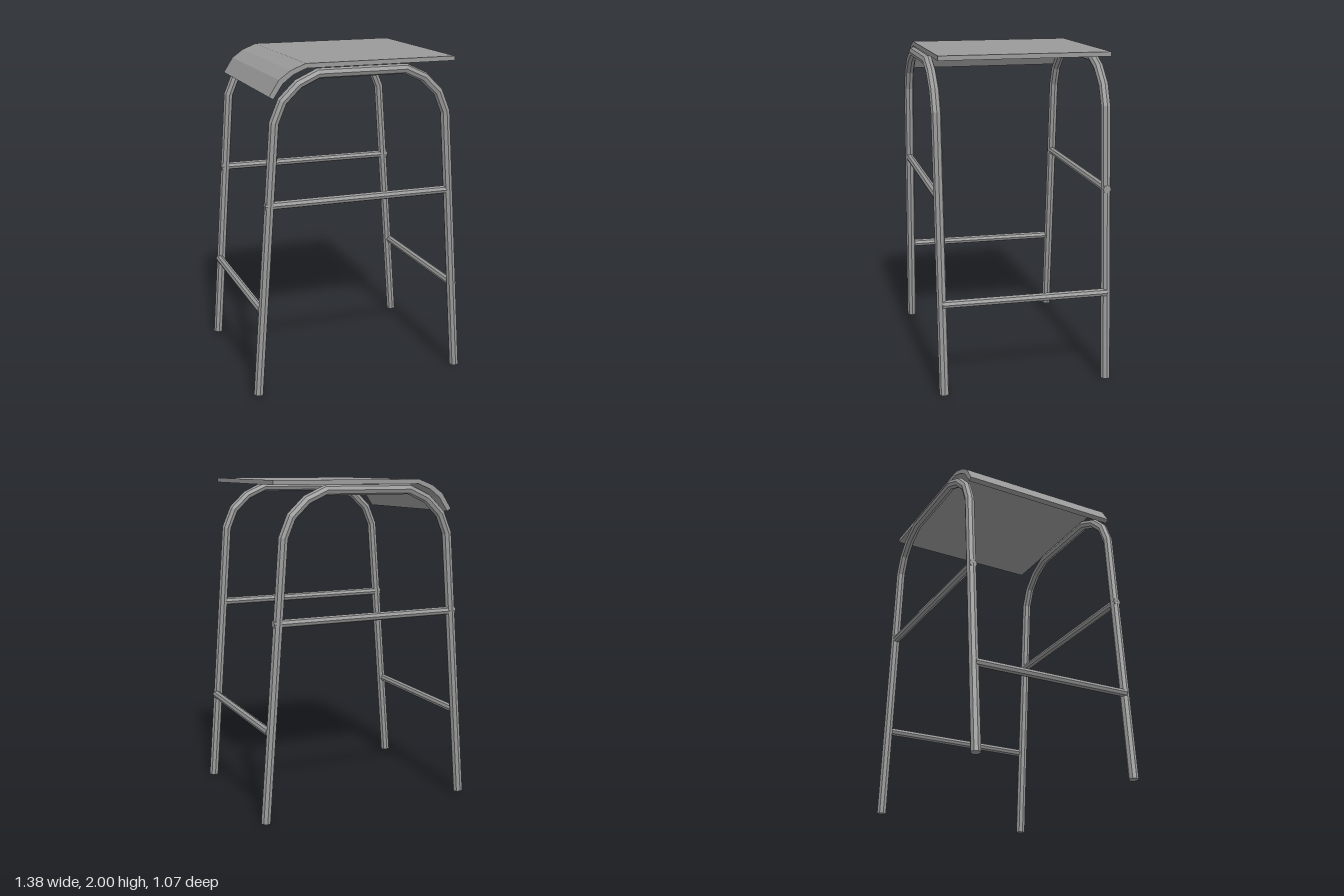
import * as THREE from 'three';

const material = new THREE.MeshStandardMaterial({ color: 0x9a9a9a, flatShading: true });
const SIDES = 8;

// Round bar swept along a path in the XY plane with mitred corners and closed ends
function sweptTube(path, radius) {
  const positions = [], index = [];
  const pts = path.map(([x, y]) => new THREE.Vector2(x, y));
  const last = pts.length - 1;
  pts.forEach((p, i) => {
    const before = p.clone().sub(pts[Math.max(i - 1, 0)]).normalize();
    const after = pts[Math.min(i + 1, last)].clone().sub(p).normalize();
    const dir = before.clone().add(after).normalize();
    const cosHalf = dir.dot(i === 0 ? after : before);
    const normal = new THREE.Vector2(-dir.y, dir.x).multiplyScalar(radius / cosHalf);
    for (let s = 0; s < SIDES; s++) {
      const a = (s / SIDES) * Math.PI * 2;
      positions.push(p.x + normal.x * Math.cos(a), p.y + normal.y * Math.cos(a), radius * Math.sin(a));
    }
  });
  for (let i = 0; i < last; i++) {
    for (let s = 0; s < SIDES; s++) {
      const a = i * SIDES + s, b = i * SIDES + ((s + 1) % SIDES);
      index.push(a, b, a + SIDES, b, b + SIDES, a + SIDES);
    }
  }
  const end = last * SIDES;
  for (let s = 1; s < SIDES - 1; s++) {
    index.push(0, s + 1, s, end, end + s, end + s + 1);
  }
  const geometry = new THREE.BufferGeometry();
  geometry.setAttribute('position', new THREE.Float32BufferAttribute(positions, 3));
  geometry.setIndex(index);
  geometry.computeVertexNormals();
  return geometry;
}

// Straight bar between two points
function bar(name, from, to, radius) {
  const a = new THREE.Vector3(...from), b = new THREE.Vector3(...to);
  const dir = b.clone().sub(a);
  const mesh = new THREE.Mesh(new THREE.CylinderGeometry(radius, radius, dir.length(), SIDES), material);
  mesh.name = name;
  mesh.position.copy(a).add(b).multiplyScalar(0.5);
  mesh.quaternion.setFromUnitVectors(new THREE.Vector3(0, 1, 0), dir.normalize());
  return mesh;
}

export function createModel() {
  const stool = new THREE.Group();
  stool.name = 'stool';

  // Bent tube frames, front and back
  const half = [[0.66, 0], [0.535, 1.675], [0.485, 1.795], [0.39, 1.887], [0.27, 1.942]];
  const path = [...half.map(([x, y]) => [-x, y]), ...half.slice().reverse()];
  path[0] = [-0.66, 0.015];
  const frameGeometry = sweptTube(path, 0.03);
  for (const side of [1, -1]) {
    const end = side > 0 ? 'front' : 'back';
    const frame = new THREE.Mesh(frameGeometry, material);
    frame.name = `${end}Frame`;
    frame.position.z = side * 0.507;
    stool.add(frame);

    // Upper rail across each frame
    const railEnd = side > 0 ? 0.585 : 0.602;
    stool.add(bar(`${end}Rail`, [-0.6, 1.194, side * 0.507], [railEnd, 1.186, side * 0.507], 0.025));

    // Lower rail joining the two frames
    stool.add(bar(side > 0 ? 'leftFootRail' : 'rightFootRail',
      [side * 0.632, 0.557, 0.507], [side * 0.632, 0.549, -0.507], 0.025));
  }

  // Seat panel rolling down on the right-hand edge
  const profile = [
    [0.593, 2], [-0.34, 2], [-0.43, 1.965], [-0.5, 1.915], [-0.56, 1.822],
    [-0.535, 1.807], [-0.478, 1.892], [-0.415, 1.94], [-0.335, 1.973], [0.593, 1.973],
  ];
  const shape = new THREE.Shape(profile.map(([x, y]) => new THREE.Vector2(x, y)));
  const seatGeometry = new THREE.ExtrudeGeometry(shape, { depth: 1.014, bevelEnabled: false });
  seatGeometry.translate(0, 0, -0.512);
  const seat = new THREE.Mesh(seatGeometry, material);
  seat.name = 'seat';
  stool.add(seat);

  return stool;
}
